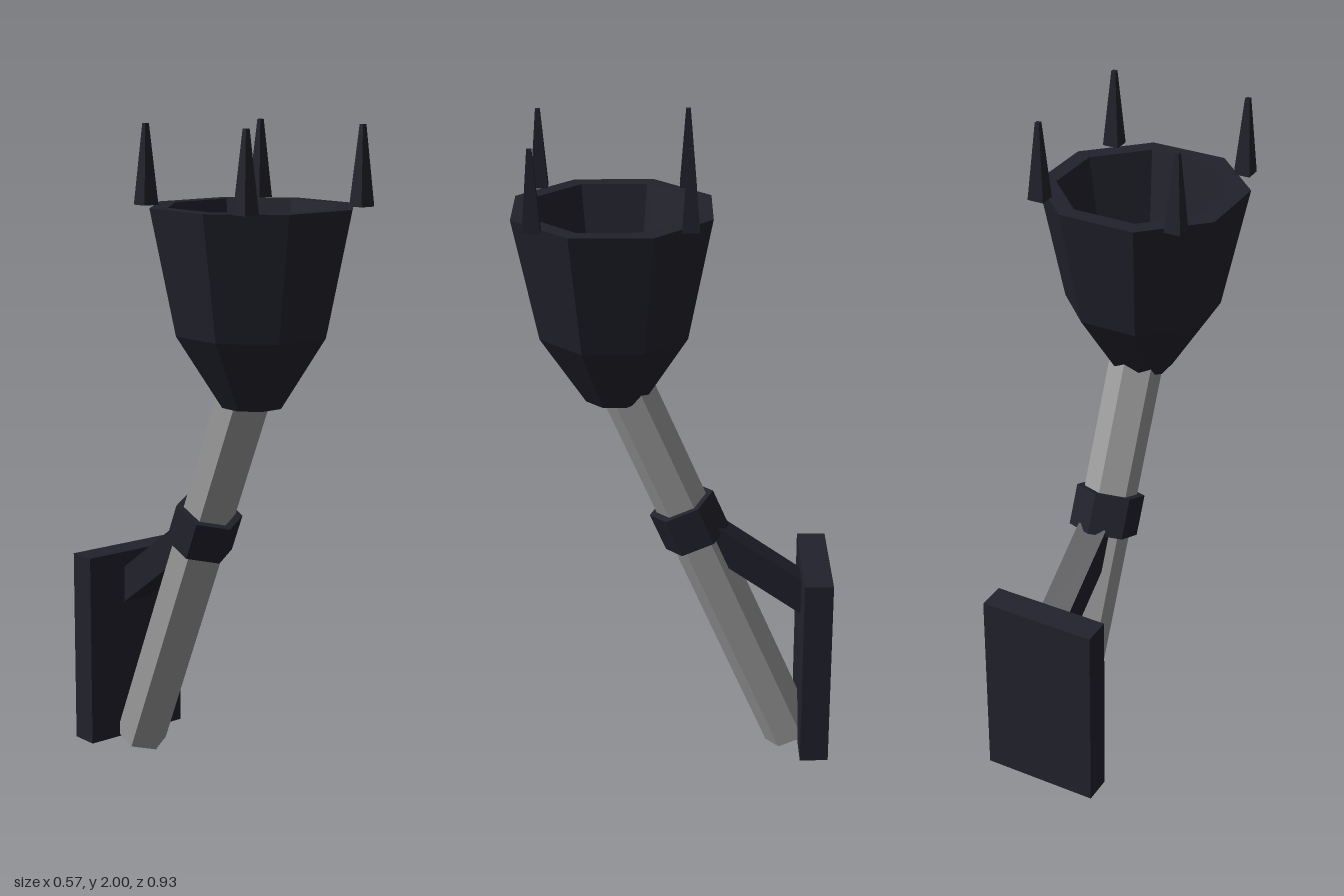
import * as THREE from 'three';

// Hard-edged facets for every face
function facet(geometry) {
  const g = geometry.index ? geometry.toNonIndexed() : geometry;
  g.computeVertexNormals();
  return g;
}

export function createModel() {
  const model = new THREE.Group();
  model.name = 'wallTorch';

  const iron = new THREE.MeshStandardMaterial({ color: 0x22222d });
  iron.name = 'darkIron';
  const steel = new THREE.MeshStandardMaterial({ color: 0x9c9c9c });
  steel.name = 'greySteel';

  function add(parent, name, geometry, material, x, y, z) {
    const mesh = new THREE.Mesh(facet(geometry), material);
    mesh.name = name;
    mesh.position.set(x, y, z);
    parent.add(mesh);
    return mesh;
  }

  const bowlZ = 0.183;
  const rimY = 1.77;

  // Octagonal hollow bowl; profile radii are given across the flats
  const profile = [
    [0, 1.19], [0.085, 1.19], [0.213, 1.405], [0.283, rimY],
    [0.233, rimY], [0.167, 1.41], [0, 1.41],
  ].map(([r, y]) => new THREE.Vector2(r / Math.cos(Math.PI / 8), y));
  add(model, 'bowl', new THREE.LatheGeometry(profile, 8, Math.PI / 8), iron, 0, 0, bowlZ);

  // Four tapered square spikes around the rim
  const spikeHeight = 2 - rimY;
  for (const sx of [-1, 1]) {
    for (const sz of [-1, 1]) {
      const spike = new THREE.CylinderGeometry(0.0095, 0.0354, spikeHeight, 4, 1, false, Math.PI / 4);
      add(model, 'spike', spike, iron, sx * 0.216, rimY + spikeHeight / 2, bowlZ + sz * 0.218);
    }
  }

  // Leaning hexagonal shaft with its collar
  const shaft = new THREE.Group();
  shaft.name = 'shaft';
  shaft.position.set(0, 0.032, -0.357);
  shaft.rotation.x = 0.403;
  model.add(shaft);
  const length = 1.32;
  add(shaft, 'handle', new THREE.CylinderGeometry(0.081, 0.081, length, 6), steel, 0, length / 2, 0);
  add(shaft, 'collar', new THREE.CylinderGeometry(0.104, 0.104, 0.125, 6), iron, 0, 0.817, 0);

  // Wall plate and sloping strut
  add(model, 'wallPlate', new THREE.BoxGeometry(0.36, 0.61, 0.087), iron, 0, 0.34, -0.423);
  const strut = add(model, 'strut', new THREE.BoxGeometry(0.093, 0.093, 0.39), iron, 0, 0.624, -0.26);
  strut.rotation.x = -0.62;

  return model;
}
